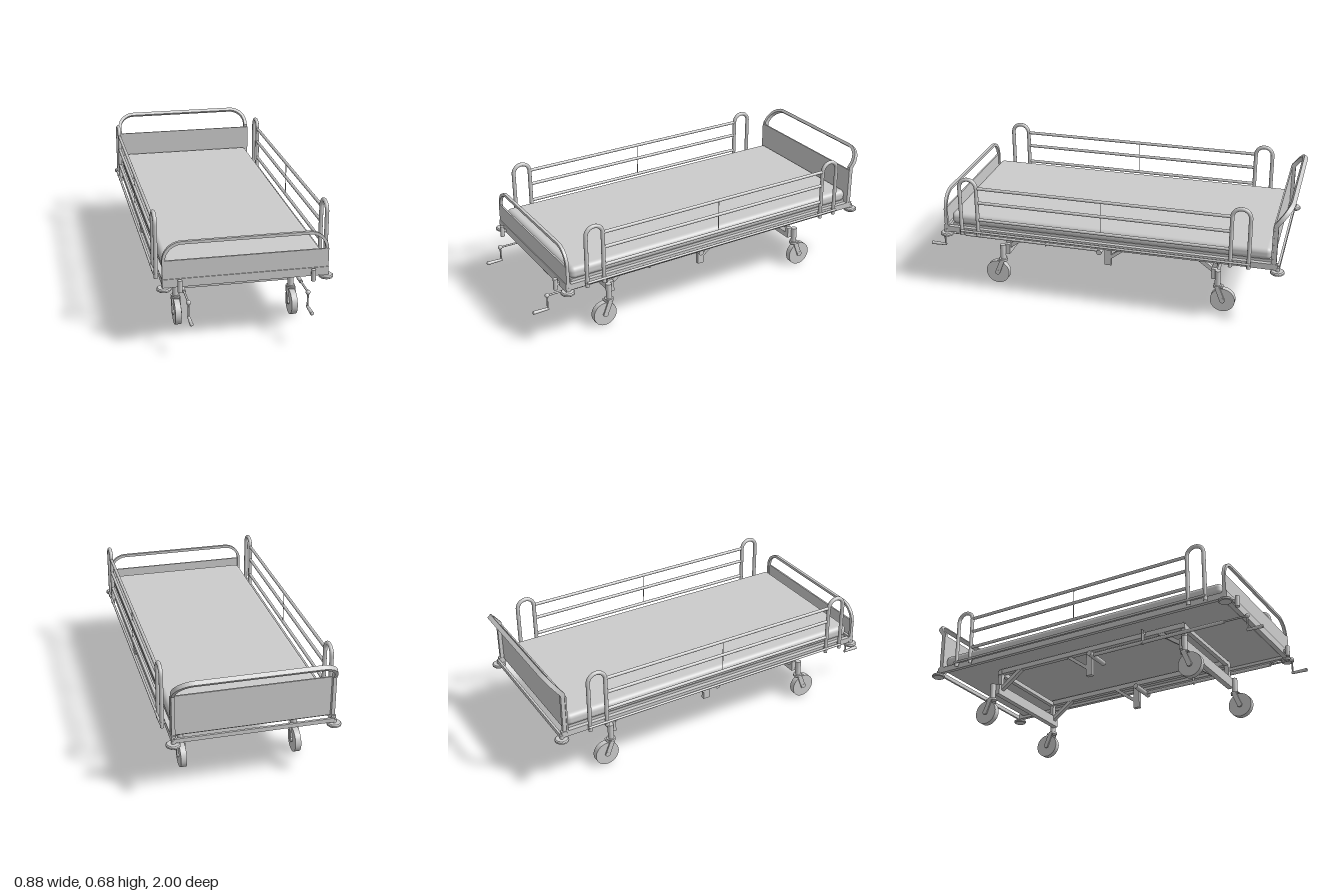
import * as THREE from 'three';
import { RoundedBoxGeometry } from 'three/addons/geometries/RoundedBoxGeometry.js';
import { toCreasedNormals } from 'three/addons/utils/BufferGeometryUtils.js';

const V = (x, y, z) => new THREE.Vector3(x, y, z);

export function createModel() {
  const model = new THREE.Group();
  model.name = 'hospitalBed';
  const mat = new THREE.MeshStandardMaterial({ color: 0xcccccc });

  const add = (name, geo, parent = model) => {
    const m = new THREE.Mesh(geo, mat);
    m.name = name;
    parent.add(m);
    return m;
  };
  // box given by its limits on each axis
  const box = (name, x0, x1, y0, y1, z0, z1, parent) => {
    const m = add(name, new THREE.BoxGeometry(x1 - x0, y1 - y0, z1 - z0), parent);
    m.position.set((x0 + x1) / 2, (y0 + y1) / 2, (z0 + z1) / 2);
    return m;
  };
  // straight round rod or square bar between two points
  const aim = (m, a, b) => {
    m.position.copy(a).add(b).multiplyScalar(0.5);
    m.quaternion.setFromUnitVectors(V(0, 1, 0), b.clone().sub(a).normalize());
    return m;
  };
  const rod = (name, a, b, r, parent, r2 = r) =>
    aim(add(name, new THREE.CylinderGeometry(r2, r, a.distanceTo(b), 20), parent), a, b);
  const bar = (name, a, b, w, d, parent) =>
    aim(add(name, new THREE.BoxGeometry(w, a.distanceTo(b), d), parent), a, b);
  // outline of an arch with rounded corners, from the left foot over to the right foot
  const outline = (half, h0, hMid, h1, corner) => {
    const pts = [[half, h0], [half, hMid]];
    for (let i = 0; i <= 14; i++) {
      const a = (i / 14) * Math.PI / 2;
      pts.push([half - corner + corner * Math.cos(a), h1 - corner + corner * Math.sin(a)]);
    }
    return [...pts, ...pts.map(([u, h]) => [-u, h]).reverse()];
  };
  // arched bar of rectangular section; place(u, h, w) puts each corner in space
  const archBar = (name, half, h0, hMid, h1, corner, width, depth, place) => {
    const outer = outline(half, h0, hMid, h1, corner);
    const inner = outline(half - width, h0, hMid, h1 - width, corner - width);
    const pos = [], idx = [], d = depth / 2;
    outer.forEach(([u, h], i) => {
      const [v, g] = inner[i];
      pos.push(...place(u, h, d), ...place(v, g, d), ...place(v, g, -d), ...place(u, h, -d));
      if (i === outer.length - 1) return;
      for (let k = 0; k < 4; k++) {
        const a = i * 4 + k, b = i * 4 + (k + 1) % 4;
        idx.push(a, a + 4, b, b, a + 4, b + 4);
      }
    });
    const geo = new THREE.BufferGeometry();
    geo.setAttribute('position', new THREE.Float32BufferAttribute(pos, 3));
    geo.setIndex(idx);
    return add(name, toCreasedNormals(geo, 0.5));
  };

  // mattress and deck
  add('mattress', new RoundedBoxGeometry(0.79, 0.066, 1.73, 5, 0.026)).position.set(0, 0.403, -0.04);
  box('deck', -0.385, 0.385, 0.345, 0.374, -0.905, 0.82);

  // main frame
  for (const s of [-1, 1])
    box('sideFrame', s * 0.4 - 0.011, s * 0.4 + 0.011, 0.33, 0.362, -0.94, 0.85);
  box('footFrame', -0.412, 0.412, 0.325, 0.368, 0.836, 0.862);
  box('headFrame', -0.4, 0.4, 0.33, 0.352, -0.95, -0.938);

  // footboard
  box('footPanel', -0.412, 0.412, 0.327, 0.463, 0.849, 0.858);
  archBar('footArch', 0.412, 0.33, 0.45, 0.557, 0.098, 0.015, 0.016, (u, h, w) => [u, h, 0.849 + w]);

  // headboard, its arch leaning back above the panel
  box('headPanel', -0.412, 0.412, 0.352, 0.565, -0.913, -0.905);
  const knee = 0.575;
  archBar('headArch', 0.408, 0.33, knee, 0.694, 0.1, 0.018, 0.024, (u, h, w) => {
    const t = h - knee;
    if (t > 1e-4) return [u, knee + t * 0.78 + w * 0.6, -0.92 - t * 0.6 + w * 0.78];
    return [u, t > -1e-4 ? h + w * 0.34 : h, -0.92 + w];
  });

  // corner bumpers and accessory sockets
  for (const s of [-1, 1]) {
    for (const z of [0.85, -0.94]) {
      const x = s * 0.403;
      rod('bumper', V(x, 0.312, z), V(x, 0.32, z), 0.036);
      rod('bumperTop', V(x, 0.32, z), V(x, 0.325, z), 0.036, model, 0.031);
      rod('bumperBase', V(x, 0.308, z), V(x, 0.312, z), 0.031, model, 0.036);
      rod('bumperPin', V(x, 0.325, z), V(x, 0.345, z), 0.011);
    }
    rod('socket', V(s * 0.33, 0.308, 0.882), V(s * 0.33, 0.368, 0.882), 0.0115);
    box('socketBracket', s * 0.33 - 0.008, s * 0.33 + 0.008, 0.332, 0.348, 0.855, 0.88);
  }

  // side guards
  for (const s of [-1, 1]) {
    const guard = new THREE.Group();
    guard.name = s > 0 ? 'leftGuard' : 'rightGuard';
    model.add(guard);
    const x = s * 0.427;
    for (const zc of [0.706, -0.748]) {
      const path = new THREE.CurvePath();
      const legs = [-0.047, 0.047].map((dz) => V(x, 0.33, zc + dz));
      const tops = [-0.047, 0.047].map((dz) => V(x, 0.609, zc + dz));
      const bend = [];
      for (let i = 0; i <= 16; i++) {
        const a = Math.PI * (1 - i / 16);
        bend.push(V(x, 0.609 + 0.047 * Math.sin(a), zc + 0.047 * Math.cos(a)));
      }
      path.add(new THREE.LineCurve3(legs[0], tops[0]));
      path.add(new THREE.CatmullRomCurve3(bend));
      path.add(new THREE.LineCurve3(tops[1], legs[1]));
      add('guardArch', new THREE.TubeGeometry(path, 90, 0.0105, 14), guard);
      for (const leg of legs)
        rod('guardBolt', V(s * 0.405, 0.357, leg.z), V(s * 0.436, 0.357, leg.z), 0.006, guard);
    }
    for (const y of [0.61, 0.528, 0.429])
      rod('guardBar', V(x, y, 0.659), V(x, y, -0.701), 0.0085, guard);
    rod('guardMiddlePost', V(x, 0.43, -0.02), V(x, 0.615, -0.02), 0.002, guard);
    rod('guardSlideRail', V(s * 0.436, 0.357, 0.757), V(s * 0.436, 0.357, -0.806), 0.0065, guard);
  }

  // undercarriage
  const ends = [{ z: 0.55, d: 1 }, { z: -0.602, d: -1 }];
  for (const s of [-1, 1]) {
    const x = s * 0.262;
    box('carriageRail', x - 0.013, x + 0.013, 0.302, 0.33, -0.61, 0.558);
    box('middlePost', s * 0.258 - 0.011, s * 0.258 + 0.011, 0.165, 0.31, -0.035, 0.002);
    bar('middleBrace', V(s * 0.258, 0.305, -0.15), V(s * 0.258, 0.205, -0.02), 0.02, 0.018);
    for (const { z, d } of ends) {
      box('carriagePost', x - 0.012, x + 0.012, 0.2, 0.325, z - 0.012, z + 0.012);
      bar('carriageBrace', V(x, 0.308, z - d * 0.14), V(x, 0.21, z - d * 0.005), 0.024, 0.022);
    }
  }
  for (const { z } of ends) {
    box('carriageCrossTube', -0.28, 0.28, 0.298, 0.322, z - 0.012, z + 0.012);
    box('carriageCrossBeam', -0.295, 0.295, 0.174, 0.232, z - 0.015, z + 0.015);
  }

  // casters trailing away from the middle
  for (const s of [-1, 1]) {
    for (const { z, d } of ends) {
      const caster = new THREE.Group();
      caster.name = 'caster';
      caster.position.set(s * 0.303, 0, z + d * 0.022);
      model.add(caster);
      rod('casterStem', V(0, 0.145, 0), V(0, 0.232, 0), 0.0155, caster);
      rod('casterCap', V(0, 0.136, 0), V(0, 0.148, 0), 0.024, caster);
      const hub = V(0, 0.066, d * 0.031);
      const wheel = add('wheel', new THREE.CylinderGeometry(0.066, 0.066, 0.031, 40), caster);
      wheel.rotation.z = Math.PI / 2;
      wheel.position.copy(hub);
      rod('axle', V(-0.0245, hub.y, hub.z), V(0.0245, hub.y, hub.z), 0.014, caster);
      for (const e of [-0.02, 0.02])
        bar('fork', V(e, 0.138, d * 0.002), V(e, 0.06, d * 0.033), 0.007, 0.026, caster);
      bar('brakePedal', V(0, 0.142, -d * 0.01), V(0, 0.138, d * 0.03), 0.036, 0.006, caster);
    }
  }

  // winding cranks
  for (const s of [-1, 1]) {
    const crank = new THREE.Group();
    crank.name = 'crank';
    model.add(crank);
    const x = s * 0.295, y = 0.264;
    rod('crankPivot', V(s * 0.175, y, 0.018), V(s * 0.327, y, 0.018), 0.0145, crank);
    rod('crankSleeve', V(x, y, 0.018), V(x, y, 0.79), 0.0095, crank);
    rod('crankShaft', V(x, y, 0.79), V(x, y, 0.915), 0.005, crank);
    box('crankHanger', x - 0.01, x + 0.01, 0.252, 0.335, 0.322, 0.328, crank);
    box('hangerArm', Math.min(s * 0.255, x), Math.max(s * 0.255, x), 0.315, 0.327, 0.319, 0.331, crank);
    rod('crankArm', V(x, y, 0.915), V(x, 0.187, 0.915), 0.0045, crank);
    rod('crankHandle', V(x, 0.187, 0.91), V(x, 0.187, 0.994), 0.007, crank, 0.0095);
    for (const [py, pz, r] of [[y, 0.915, 0.012], [0.187, 0.99, 0.0095]])
      add('crankKnob', new THREE.SphereGeometry(r, 16, 12), crank).position.set(x, py, pz);
  }

  return model;
}
